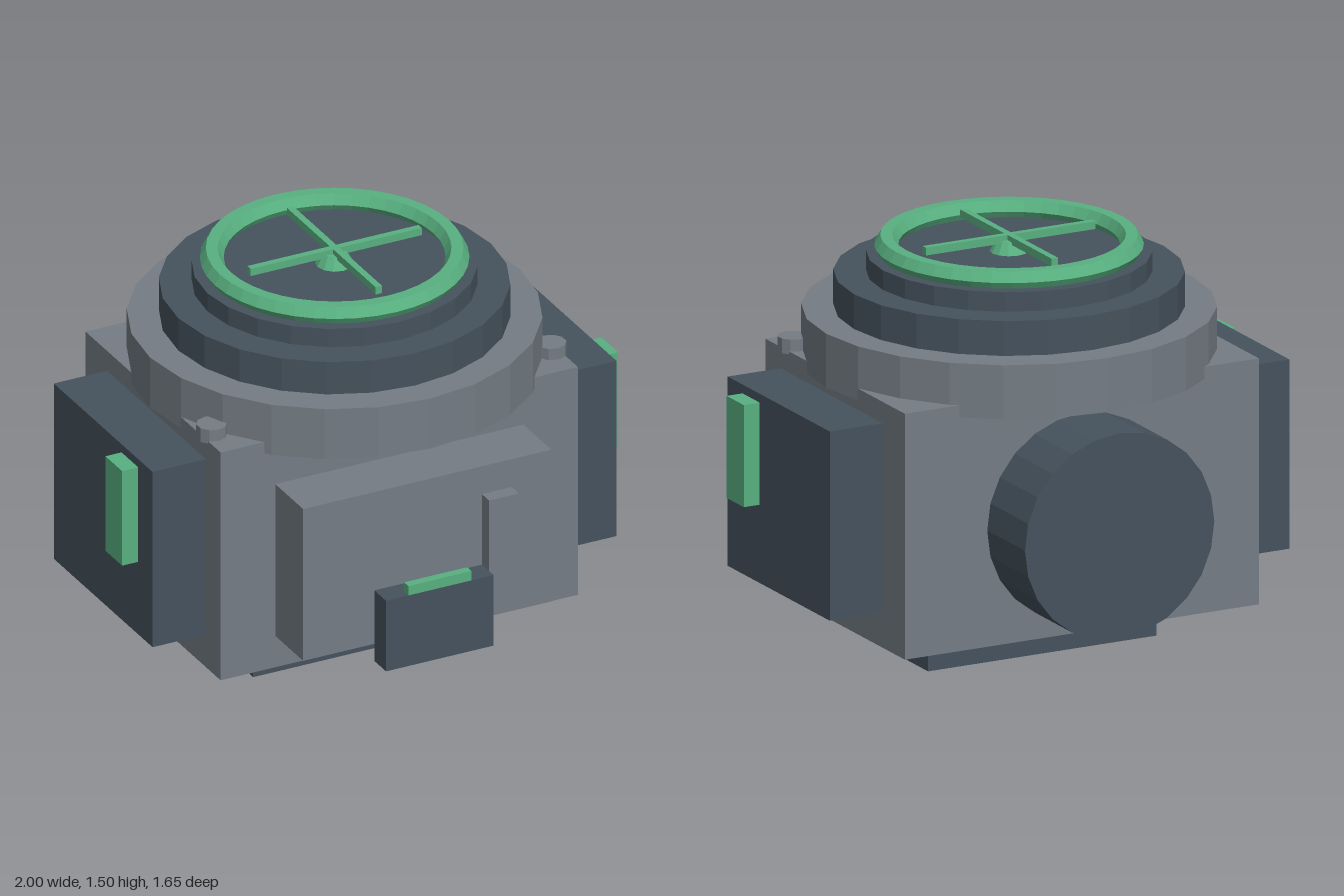
import * as THREE from 'three';

const material = (name, color) => {
  const m = new THREE.MeshStandardMaterial({ color });
  m.name = name;
  m.flatShading = true;
  return m;
};

export function createModel() {
  const grey = material('hull grey', 0x747c84);
  const dark = material('dark slate', 0x45525d);
  const green = material('signal green', 0x58b080);
  const model = new THREE.Group();
  model.name = 'pod';

  const add = (name, geometry, mat) => {
    const mesh = new THREE.Mesh(geometry, mat);
    mesh.name = name;
    model.add(mesh);
    return mesh;
  };
  // Box from its minimum and maximum corners
  const box = (name, mat, x0, x1, y0, y1, z0, z1) =>
    add(name, new THREE.BoxGeometry(x1 - x0, y1 - y0, z1 - z0), mat)
      .position.set((x0 + x1) / 2, (y0 + y1) / 2, (z0 + z1) / 2);
  // Upright cylinder between two heights
  const drum = (name, mat, rTop, rBottom, y0, y1, sides, x, z) =>
    add(name, new THREE.CylinderGeometry(rTop, rBottom, y1 - y0, sides), mat)
      .position.set(x, (y0 + y1) / 2, z);

  // Body and foot
  box('body', grey, -0.72, 0.72, 0.16, 1.08, -0.543, 0.51);
  box('foot', dark, -0.465, 0.465, 0, 0.16, -0.245, 0.27);

  // Front panel, handle and tray
  box('frontPanel', grey, -0.5, 0.5, 0.287, 0.9, 0.51, 0.728);
  box('handle', grey, 0.22, 0.34, 0.35, 0.788, 0.728, 0.785);
  box('tray', dark, -0.217, 0.217, 0.222, 0.507, 0.735, 0.826);
  box('trayLight', green, -0.127, 0.127, 0.507, 0.545, 0.793, 0.826);

  // Side pods with lights, and bolts on the front shoulders
  for (const [side, s] of [['left', 1], ['right', -1]]) {
    const mirrored = (name, mat, a, b, ...rest) =>
      box(side + name, mat, Math.min(s * a, s * b), Math.max(s * a, s * b), ...rest);
    mirrored('Pod', dark, 0.72, 0.935, 0.292, 1.0, -0.375, 0.395);
    mirrored('PodLight', green, 0.935, 1.0, 0.585, 0.967, 0.153, 0.283);
    drum(side + 'Bolt', grey, 0.056, 0.056, 1.07, 1.125, 10, s * 0.684, 0.37);
  }

  // Rear drum
  const rear = add('rearDrum', new THREE.CylinderGeometry(0.385, 0.385, 0.3, 24), dark);
  rear.rotation.x = Math.PI / 2;
  rear.position.set(0, 0.595, -0.678);

  // Stepped collar on top
  const cz = 0.006;
  drum('lowerCollar', grey, 0.745, 0.745, 1.035, 1.237, 24, 0, cz);
  drum('middleCollar', dark, 0.63, 0.63, 1.237, 1.367, 24, 0, cz);
  drum('upperCollar', dark, 0.513, 0.513, 1.367, 1.44, 24, 0, cz);

  // Hatch rim, cross bars and hub
  const rim = add('hatchRim', new THREE.TorusGeometry(0.44, 0.043, 6, 40), green);
  rim.rotation.x = Math.PI / 2;
  rim.position.set(0, 1.465, cz);
  box('crossBarWide', green, -0.345, 0.345, 1.475, 1.504, cz - 0.013, cz + 0.013);
  box('crossBarDeep', green, -0.013, 0.013, 1.475, 1.504, cz - 0.345, cz + 0.345);
  drum('hub', green, 0.045, 0.07, 1.44, 1.485, 12, 0, cz);

  return model;
}
